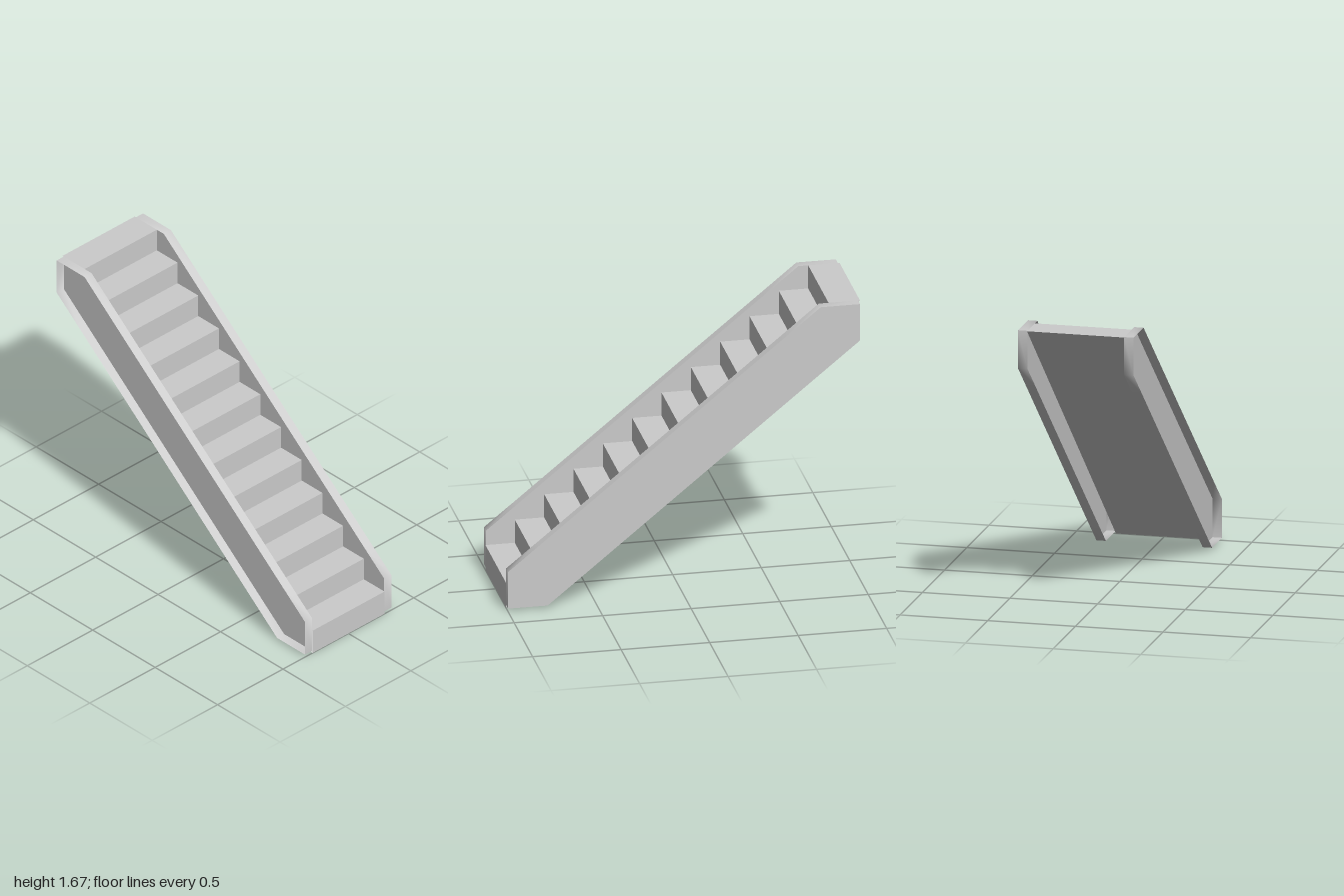
import * as THREE from 'three';

const STEPS = 12;
const HEIGHT = 1.67;
const LIP = 0.0115; // extra height of first riser and extra depth of top tread
const RUN = (2 - LIP) / STEPS;
const RISE = (HEIGHT - LIP) / STEPS;
const INNER_Z = 0.276;
const OUTER_Z = 0.33;

const smooth = new THREE.MeshStandardMaterial({ color: 0xcccccc, side: THREE.DoubleSide });
const flat = new THREE.MeshStandardMaterial({ color: 0xcccccc, side: THREE.DoubleSide, flatShading: true });

// Sheet that follows an x-y path and spans z0 to z1; normals are shared along the path
function sheet(name, path, z0, z1, material) {
  const positions = path.flatMap(([x, y]) => [x, y, z0, x, y, z1]);
  const index = [];
  for (let i = 0; i < path.length - 1; i++) {
    const a = i * 2;
    index.push(a, a + 1, a + 2, a + 1, a + 3, a + 2);
  }
  const geometry = new THREE.BufferGeometry();
  geometry.setAttribute('position', new THREE.Float32BufferAttribute(positions, 3));
  geometry.setIndex(index);
  geometry.computeVertexNormals();
  const mesh = new THREE.Mesh(geometry, material);
  mesh.name = name;
  return mesh;
}

// Flat panel with an x-y outline
function panel(name, outline, z) {
  const shape = new THREE.Shape(outline.map(([x, y]) => new THREE.Vector2(x, y)));
  const mesh = new THREE.Mesh(new THREE.ShapeGeometry(shape), flat);
  mesh.name = name;
  mesh.position.z = z;
  return mesh;
}

// Side stringer: a flat panel on its back side with a rim around it, open to the front
function stringer(name, z0, z1) {
  const topRun = [[-0.99, HEIGHT], [-0.767, HEIGHT], [-0.55, 1.493], [0.82, 0.379], [0.998, 0.235], [0.998, 0.015]];
  const bottomRun = [[0.998, 0.015], [0.775, 0.015], [0.558, 0.191], [-0.812, 1.308], [-0.99, 1.453], [-0.99, HEIGHT]];
  const part = new THREE.Group();
  part.name = name;
  part.add(
    panel('panel', [...topRun, ...bottomRun.slice(1, -1)], z0),
    sheet('upperRim', topRun, z0, z1, smooth),
    sheet('lowerRim', bottomRun, z0, z1, smooth),
  );
  return part;
}

export function createModel() {
  const group = new THREE.Group();
  group.name = 'staircase';

  // Treads and risers from the top down, closed by a sloping underside
  const path = [[-1, HEIGHT]];
  for (let i = STEPS - 1; i >= 0; i--) {
    const x = 1 - i * RUN;
    path.push([x, (i + 1) * RISE + LIP], [x, i === 0 ? 0 : i * RISE + LIP]);
  }
  group.add(
    sheet('steps', path, -INNER_Z, INNER_Z, flat),
    sheet('underside', [[1, 0], [-1, HEIGHT]], -INNER_Z, INNER_Z, flat),
    panel('stepsSide', path, -INNER_Z),
  );

  group.add(stringer('frontStringer', INNER_Z, OUTER_Z));
  group.add(stringer('backStringer', -OUTER_Z, -INNER_Z));
  return group;
}
